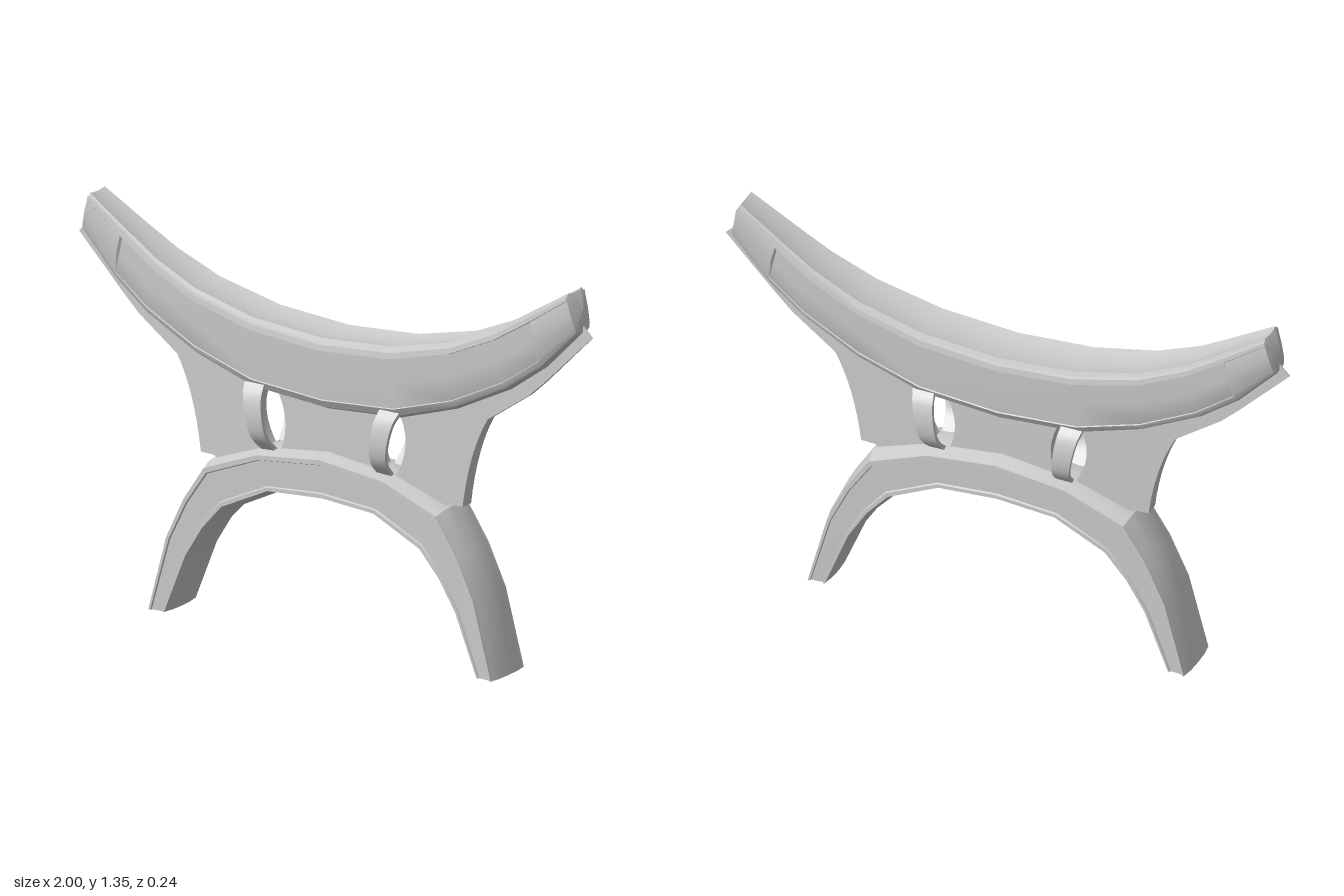
import * as THREE from 'three';
import { toCreasedNormals } from 'three/addons/utils/BufferGeometryUtils.js';

const material = new THREE.MeshStandardMaterial({ color: 0xcccccc });

function addMesh(parent, geometry, name) {
  const mesh = new THREE.Mesh(geometry, material);
  mesh.name = name;
  parent.add(mesh);
  return mesh;
}

// Skin a list of closed rings (Vector3 lists); each end is capped from its centre, pushed out by bulge.
function loft(rings, bulge = 0) {
  const n = rings[0].length, last = rings.length - 1, pos = [], idx = [];
  rings.forEach(r => r.forEach(p => pos.push(p.x, p.y, p.z)));
  for (let i = 0; i < last; i++) {
    for (let j = 0; j < n; j++) {
      const k = (j + 1) % n;
      const a = i * n + j, b = i * n + k, c = a + n, d = b + n;
      idx.push(a, b, d, a, d, c);
    }
  }
  [[0, -1], [last, 1]].forEach(([i, dir]) => {
    const mid = new THREE.Vector3();
    rings[i].forEach(p => mid.addScaledVector(p, 1 / n));
    const centre = pos.length / 3;
    pos.push(mid.x + dir * bulge, mid.y, mid.z);
    for (let j = 0; j < n; j++) {
      const a = i * n + j, b = i * n + (j + 1) % n;
      if (dir > 0) idx.push(centre, a, b); else idx.push(centre, b, a);
    }
  });
  const g = new THREE.BufferGeometry();
  g.setAttribute('position', new THREE.Float32BufferAttribute(pos, 3));
  g.setIndex(idx);
  return toCreasedNormals(g, 0.5);
}

// Half stations (centre outward) become a full run from -x to +x.
function mirrorStations(half) {
  const left = half.slice(1).reverse().map(s => ({ ...s, top: [-s.top[0], s.top[1]], low: [-s.low[0], s.low[1]] }));
  return [...left, ...half];
}

// Ring between the upper and lower edge of a station; profile holds [u, z], first and last on the midline.
function ring({ top, low, w = 1 }, profile) {
  const at = ([u, z], s) => new THREE.Vector3(
    top[0] + (low[0] - top[0]) * u, top[1] + (low[1] - top[1]) * u, z * w * s);
  return [...profile.map(p => at(p, 1)), ...profile.slice(1, -1).reverse().map(p => at(p, -1))];
}

// Curved headrest with a rim, a dished top and a sunken panel on both sides
function headrest() {
  const profile = recessed => {
    const side = recessed ? [0.9, 0.86, 0.79] : [1.0, 0.98, 0.84];
    return [[0.04, 0], [0.025, 0.5], [0, 0.8], [0.06, 0.86], [0.07, 1], [0.15, 1.03],
      [0.16, side[0]], [0.5, side[1]], [0.84, side[2]], [0.85, 0.83], [0.95, 0.68], [1, 0.4], [1, 0]];
  };
  const stations = mirrorStations([
    { top: [0, 1.04], low: [0, 0.79], w: 0.1, panel: true },
    { top: [0.27, 1.06], low: [0.28, 0.81], w: 0.098, panel: true },
    { top: [0.5, 1.115], low: [0.5, 0.88], w: 0.09, panel: true },
    { top: [0.66, 1.185], low: [0.7, 0.98], w: 0.079, panel: true },
    { top: [0.785, 1.26], low: [0.83, 1.075], w: 0.066, panel: true },
    { top: [0.791, 1.264], low: [0.836, 1.081], w: 0.0655 },
    { top: [0.93, 1.35], low: [0.965, 1.215], w: 0.052 },
  ]);
  return loft(stations.map(s => ring(s, profile(s.panel))), 0.02);
}

// Arched foot with raised rims along both edges
function archedBase() {
  const profile = [[0, 0], [0.02, 0.055], [0.09, 0.082], [0.1, 0.095], [0.2, 0.095], [0.22, 0.088],
    [0.78, 0.085], [0.8, 0.091], [0.88, 0.091], [0.9, 0.075], [0.97, 0.05], [1, 0]];
  const stations = mirrorStations([
    { top: [0, 0.645], low: [0, 0.48] },
    { top: [0.25, 0.615], low: [0.2, 0.467] },
    { top: [0.46, 0.535], low: [0.375, 0.38] },
    { top: [0.54, 0.41], low: [0.45, 0.3] },
    { top: [0.607, 0.265], low: [0.515, 0.2] },
    { top: [0.675, 0], low: [0.6, 0] },
  ]);
  return loft(stations.map(s => ring(s, profile)));
}

// Flat plate whose half thickness follows x
function plate(shape, halfThickness) {
  const g = new THREE.ExtrudeGeometry(shape, { depth: 2, bevelEnabled: false, curveSegments: 8 });
  g.translate(0, 0, -1);
  const p = g.attributes.position;
  for (let i = 0; i < p.count; i++) p.setZ(i, p.getZ(i) * halfThickness(p.getX(i)));
  g.computeVertexNormals();
  return toCreasedNormals(g, 0.5);
}

// Outer web with the thin fin running out below the headrest
function outerWeb() {
  const s = new THREE.Shape();
  s.moveTo(0.24, 0.58);
  s.lineTo(0.43, 0.53);
  s.lineTo(0.46, 0.545);
  s.lineTo(0.51, 0.545);
  s.quadraticCurveTo(0.535, 0.74, 0.605, 0.858);
  [[0.76, 0.965], [0.82, 1.02], [1, 1.2], [0.96, 1.24], [0.82, 1.1], [0.7, 1.01], [0.5, 0.91], [0.26, 0.84]]
    .forEach(p => s.lineTo(...p));
  s.quadraticCurveTo(0.34, 0.72, 0.24, 0.58);
  return plate(s, x => Math.max(0.003, 0.05 * (1 - x)));
}

// Centre web with hollowed sides
function centreWeb() {
  const s = new THREE.Shape();
  s.moveTo(-0.2, 0.59);
  s.lineTo(0.2, 0.59);
  s.quadraticCurveTo(0.135, 0.71, 0.21, 0.83);
  s.lineTo(-0.21, 0.83);
  s.quadraticCurveTo(-0.135, 0.71, -0.2, 0.59);
  return plate(s, () => 0.04);
}

// Bowed strap from the headrest down to the base
function strap(side) {
  const path = new THREE.CatmullRomCurve3(
    [[0.263, 0.835, 0.076], [0.255, 0.8, 0.101], [0.243, 0.73, 0.111], [0.233, 0.665, 0.097], [0.225, 0.61, 0.045]]
      .map(([x, y, z]) => new THREE.Vector3(side * x, y, z)));
  const rings = [];
  for (let i = 0; i <= 12; i++) {
    const t = i / 12, c = path.getPoint(t), d = path.getTangent(t);
    const n = new THREE.Vector3(0, d.z, -d.y).normalize().multiplyScalar(0.007);
    const w = 0.038 - 0.011 * t;
    rings.push([[1, -1], [1, 1], [-1, 1], [-1, -1]].map(([a, b]) =>
      c.clone().addScaledVector(n, b).add(new THREE.Vector3(a * w, 0, 0))));
  }
  return loft(rings);
}

export function createModel() {
  const model = new THREE.Group();
  model.name = 'headrestStand';
  addMesh(model, headrest(), 'headrest');
  addMesh(model, archedBase(), 'archedBase');
  addMesh(model, centreWeb(), 'centreWeb');

  // Webs and straps repeat by half turns about the upright axis
  [0, Math.PI].forEach((turn, i) => {
    addMesh(model, outerWeb(), i ? 'rightWeb' : 'leftWeb').rotation.y = turn;
    [1, -1].forEach(side => {
      const end = i ? 'back' : 'front';
      const hand = (side > 0) === (i === 0) ? 'Left' : 'Right';
      addMesh(model, strap(side), `${end}${hand}Strap`).rotation.y = turn;
    });
  });
  return model;
}
